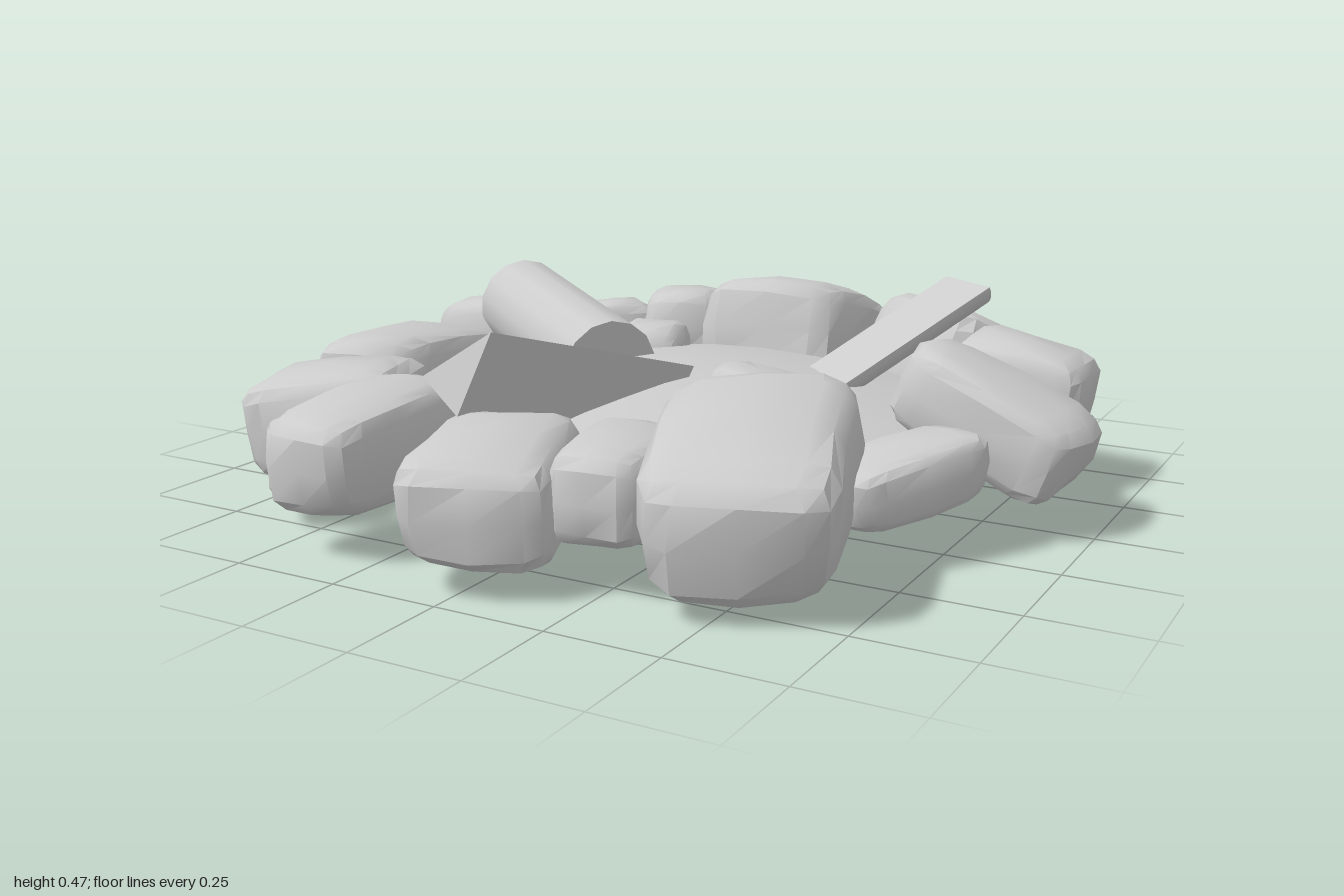
import * as THREE from 'three';
import { toCreasedNormals } from 'three/addons/utils/BufferGeometryUtils.js';
import { ConvexGeometry } from 'three/addons/geometries/ConvexGeometry.js';

const grey = new THREE.MeshStandardMaterial({ color: 0xcccccc });

// Worn, chamfered boulder: a box pulled towards a superellipsoid, then waisted, bent and dented
function stoneGeometry(w, h, l, seed) {
  const geo = new THREE.BoxGeometry(2, 2, 2, 4, 4, 4);
  const pos = geo.attributes.position;
  const p = new THREE.Vector3();
  const spread = (v) => Math.sign(v) * (Math.abs(v) > 0.9 ? 1 : Math.abs(v) * 1.3);
  for (let i = 0; i < pos.count; i++) {
    p.fromBufferAttribute(pos, i);
    p.set(spread(p.x), spread(p.y), spread(p.z));
    const norm = Math.pow(p.x ** 4 + p.y ** 4 + p.z ** 4, 0.25);
    p.divideScalar(norm);
    const dent = 1 + 0.04 * Math.sin(seed * 2.3 + p.x * 2.7 + p.z * 3.1 + p.y * 1.9);
    const side = dent * (0.98 + 0.06 * p.z * p.z) * (1 + 0.08 * Math.sin(seed * 1.7) * p.z);
    const bend = 0.06 * Math.sin(seed * 3.1) * (1 - 2 * p.z * p.z);
    pos.setXYZ(i, (p.x * side + bend) * w / 2, p.y * dent * h / 2, p.z * dent * l / 2);
  }
  geo.deleteAttribute('uv');
  return toCreasedNormals(geo, 0.6);
}

// [x, y, z, width, height, length, heading x, heading z, outward tilt]
const ringStones = [
  [-0.03, 0.23, -0.69, 0.43, 0.3, 0.6, -0.1, -1, 0.28],
  [0.41, 0.205, -0.645, 0.43, 0.33, 0.32, 0.6, -0.8, 0.43],
  [0.72, 0.25, -0.34, 0.25, 0.24, 0.34, 1, 0.05, 0.15],
  [0.76, 0.26, 0, 0.26, 0.21, 0.44, 1, 0.05, 0.4],
  [0.685, 0.2, 0.32, 0.19, 0.15, 0.35, 0.5, -0.85, -0.15],
  [0.48, 0.235, 0.61, 0.41, 0.3, 0.55, 0.33, 0.9, 0.22],
  [0.23, 0.22, 0.69, 0.22, 0.21, 0.34, 0.12, 1, 0],
  [-0.01, 0.2, 0.78, 0.32, 0.24, 0.42, 0.36, 1, 0.08],
  [-0.36, 0.235, 0.75, 0.24, 0.23, 0.42, -0.05, 1, 0.08],
  [-0.61, 0.155, 0.68, 0.15, 0.14, 0.3, 0.6, 0.7, 0],
  [-0.69, 0.19, 0.46, 0.31, 0.25, 0.42, -0.9, 0.28, 0.15],
  [-0.785, 0.185, 0.06, 0.32, 0.27, 0.61, -0.2, -1, 0.12],
  [-0.775, 0.23, -0.34, 0.24, 0.22, 0.38, -1, -0.2, 0.15],
  [-0.57, 0.21, -0.605, 0.19, 0.19, 0.28, -0.75, -0.65, 0.12],
  [-0.355, 0.23, -0.675, 0.24, 0.24, 0.38, -0.3, -1, 0.15],
];

// Pebbles wedged between the ring stones
const pebbles = [
  [-0.54, 0.22, -0.44, 0.14, 0.14, 0.18, 1, 0.3, 0],
  [-0.51, 0.19, 0.57, 0.1, 0.1, 0.15, 0.6, 0.7, 0],
  [0.82, 0.2, -0.18, 0.13, 0.12, 0.13, 1, 0, 0],
  [0.68, 0.23, -0.17, 0.1, 0.12, 0.14, 1, 0.2, 0],
  [0.54, 0.24, -0.18, 0.07, 0.08, 0.08, 1, 0, 0],
];

// Loose stones bedded in the ash
const looseStones = [
  [0.24, 0.205, 0.09, 0.19, 0.25, 0.27, 1, 0.1, 0.15],
  [-0.23, 0.205, -0.24, 0.18, 0.26, 0.21, 0.3, 1, 0.1],
  [-0.37, 0.22, 0.3, 0.13, 0.16, 0.17, -0.2, 1, 0.1],
];

function addStones(group, name, rows) {
  const set = new THREE.Group();
  set.name = name + 's';
  rows.forEach(([x, y, z, w, h, l, dx, dz, tilt], i) => {
    const stone = new THREE.Mesh(stoneGeometry(w, h, l, i + 1), grey);
    stone.name = name + (i + 1);
    stone.position.set(x, y, z);
    stone.rotation.set(tilt, Math.atan2(dx, dz), 0, 'YXZ');
    set.add(stone);
  });
  group.add(set);
}

// Half-round section, flat side up, running along z
function halfRoundGeometry(length) {
  const section = new THREE.Shape().absellipse(0, 0.03, 0.088, 0.065, Math.PI, Math.PI * 2);
  const geo = new THREE.ExtrudeGeometry(section, { depth: length, bevelEnabled: false, curveSegments: 8 });
  return toCreasedNormals(geo.translate(0, 0, -length / 2), 0.6);
}

// Mesh whose geometry runs along z, laid between two points
function layBetween(makeGeometry, name, a, b) {
  const from = new THREE.Vector3(...a), to = new THREE.Vector3(...b);
  const mesh = new THREE.Mesh(makeGeometry(from.distanceTo(to)), grey);
  mesh.name = name;
  mesh.position.copy(from).lerp(to, 0.5);
  mesh.lookAt(to);
  return mesh;
}

export function createModel() {
  const group = new THREE.Group();
  group.name = 'campfireRing';

  // Lens-shaped bed of ash: shallow mound above, nearly flat below
  const lens = [[0, 0.105], [0.55, 0.12], [0.79, 0.155], [0.6, 0.21], [0.4, 0.26], [0.2, 0.295], [0, 0.31]];
  const ash = new THREE.Mesh(toCreasedNormals(
    new THREE.LatheGeometry(lens.map(([r, y]) => new THREE.Vector2(r, y)), 20), 0.4), grey);
  ash.name = 'ashBed';
  group.add(ash);

  addStones(group, 'ringStone', ringStones);
  addStones(group, 'pebble', pebbles);
  addStones(group, 'looseStone', looseStones);

  // Round log resting on the ring
  group.add(layBetween(
    (len) => new THREE.CylinderGeometry(0.12, 0.12, len, 14).rotateX(Math.PI / 2),
    'roundLog', [-0.185, 0.275, 0.05], [-0.68, 0.335, -0.3]));

  // Half log rising outwards
  group.add(layBetween(halfRoundGeometry, 'halfLog', [0.285, 0.225, -0.12], [0.535, 0.44, -0.495]));

  // Split log with a triangular section, its inner end sunk in the ash
  const end = [[-0.28, 0.37, 0.655], [-0.08, 0.49, 0.68], [-0.15, 0.31, 0.71]];
  const sweep = new THREE.Vector3(0.165, -0.165, -0.56);
  const outer = end.map((c) => new THREE.Vector3(...c));
  const inner = outer.map((v) => v.clone().add(sweep));
  const split = new THREE.Mesh(new ConvexGeometry([...outer, ...inner]), grey);
  split.name = 'splitLog';
  group.add(split);

  return group;
}
